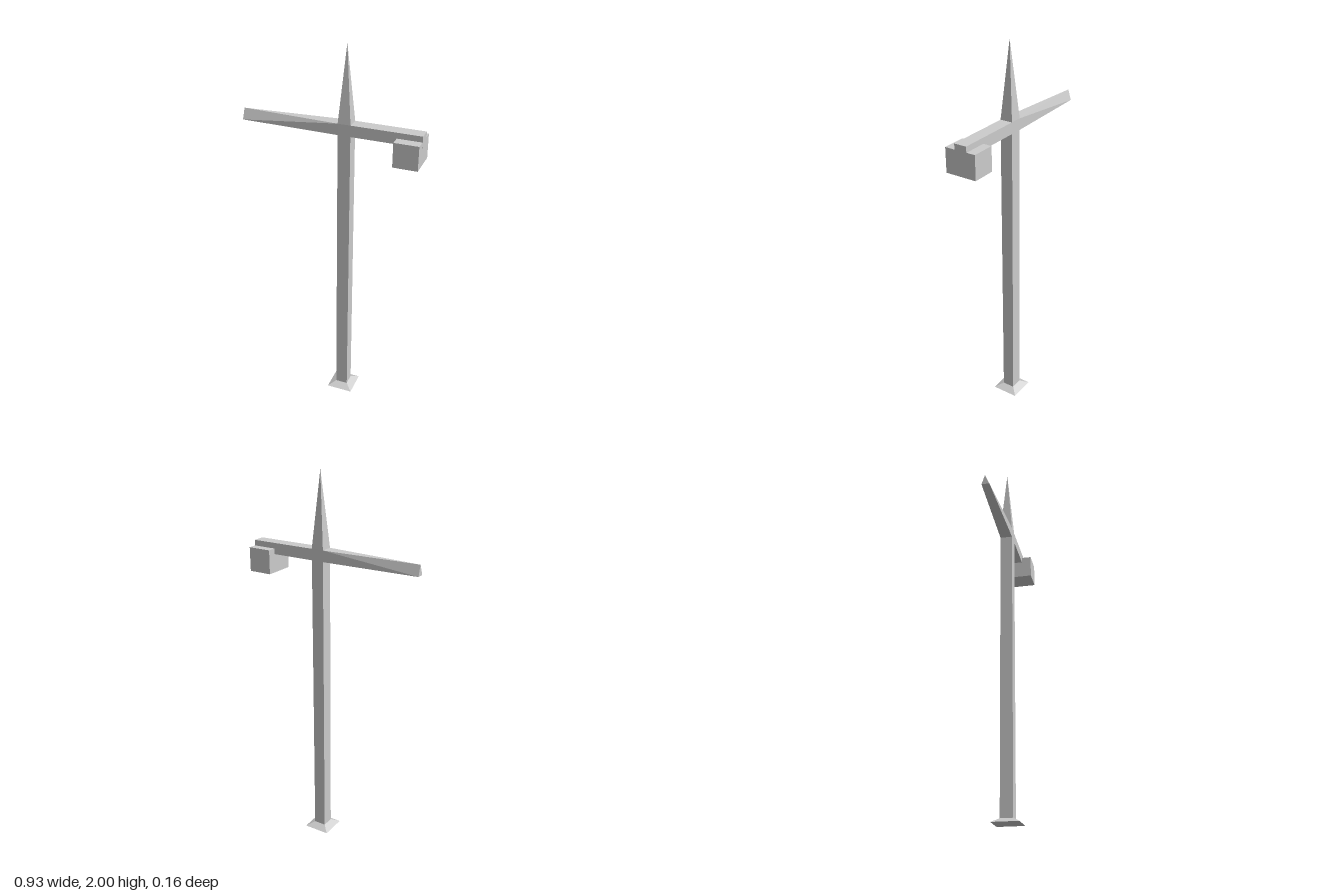
import * as THREE from 'three';
import { ConvexGeometry } from 'three/addons/geometries/ConvexGeometry.js';

const MAST_X = 0.079, MAST_Z = -0.004, HALF = 0.0325;
const ARM_LOW = 1.561, ARM_TOP = 1.619;

export function createModel() {
  const group = new THREE.Group();
  const material = new THREE.MeshStandardMaterial({ color: 0xcccccc, flatShading: true });

  const add = (name, geometry) => {
    const mesh = new THREE.Mesh(geometry, material);
    mesh.name = name;
    group.add(mesh);
    return mesh;
  };

  // Box given by its lower and upper corners
  const box = (name, [x0, y0, z0], [x1, y1, z1]) =>
    add(name, new THREE.BoxGeometry(x1 - x0, y1 - y0, z1 - z0))
      .position.set((x0 + x1) / 2, (y0 + y1) / 2, (z0 + z1) / 2);

  // Square tapered column on the mast axis, sized by half widths
  const taper = (name, y0, y1, half0, half1) => {
    const g = new THREE.CylinderGeometry(half1 * Math.SQRT2, half0 * Math.SQRT2, y1 - y0, 4);
    g.rotateY(Math.PI / 4);
    add(name, g).position.set(MAST_X, (y0 + y1) / 2, MAST_Z);
  };

  // Foot, mast and pointed tower top
  taper('baseFoot', 0, 0.022, 0.07, HALF);
  taper('mast', 0.022, ARM_TOP, HALF, HALF);
  taper('towerPeak', ARM_TOP, 2, HALF, 0);

  // Jib: square at the mast, narrowing to a triangle at the tip
  const rootX = MAST_X - HALF, tipX = -0.463;
  const jib = [
    [tipX, ARM_LOW, -0.021], [tipX, ARM_LOW, 0.019], [tipX, 1.615, MAST_Z],
  ];
  for (const y of [ARM_LOW, ARM_TOP])
    for (const s of [-1, 1]) jib.push([rootX, y, MAST_Z + s * HALF]);
  add('jib', new ConvexGeometry(jib.map(p => new THREE.Vector3(...p))));

  // Rear arm with its hanging block
  box('counterArm', [MAST_X + HALF, ARM_LOW, MAST_Z - HALF], [0.463, ARM_TOP, MAST_Z + HALF]);
  box('counterweight', [0.339, 1.466, -0.082], [0.462, 1.59, 0.081]);

  return group;
}
